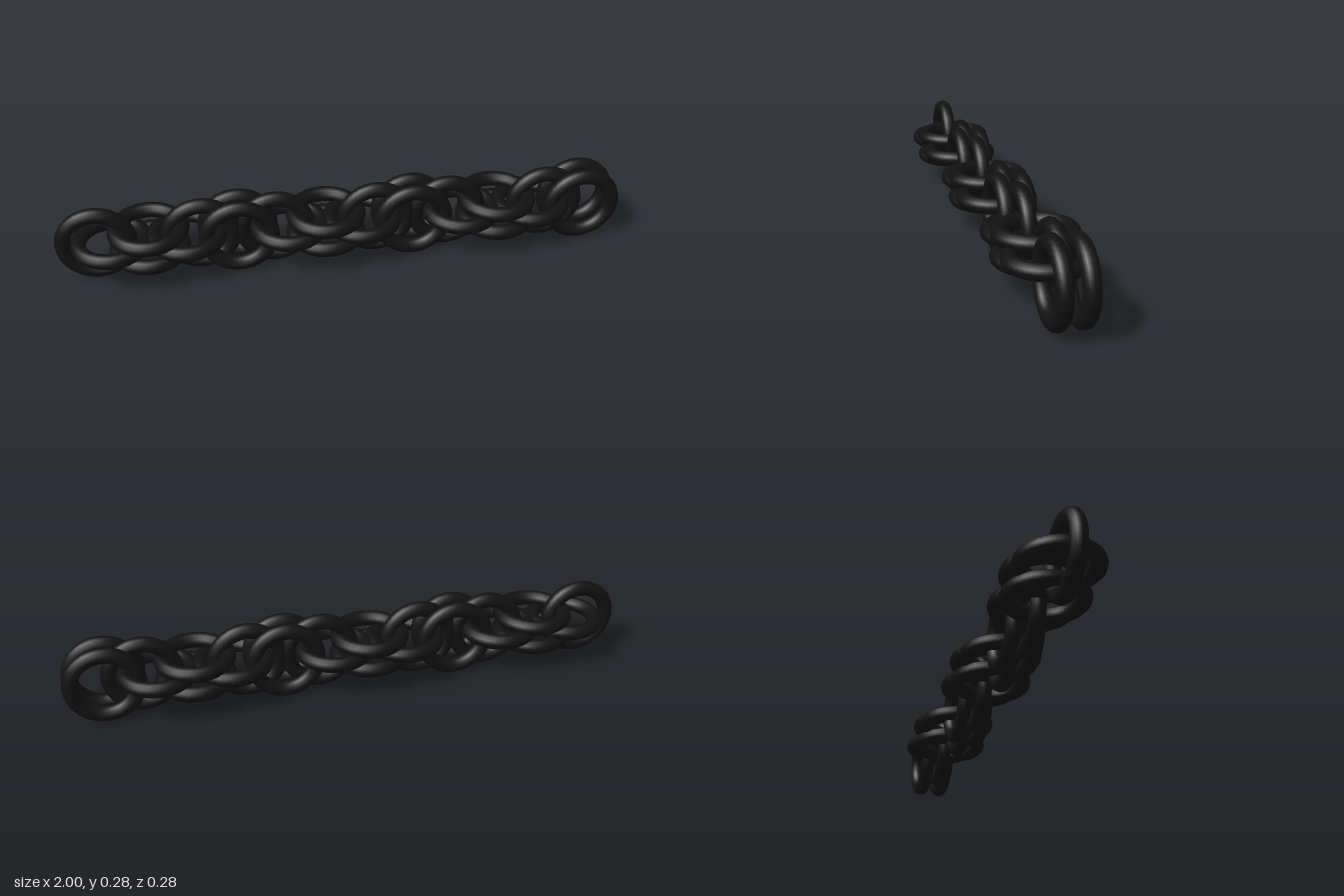
import * as THREE from 'three';

const RING = 0.114;      // centreline radius of a ring
const WIRE = 0.027;      // wire radius
const PERIOD = 0.6153;   // distance between two groups in the same plane
const STEP = 0.128;      // distance from the paired rings to the single ones
const SPREAD = 0.0385;   // sideways offset of each paired ring
const HEIGHT = RING + WIRE;
const END = 1 - HEIGHT;  // centre of the last ring at each end

export function createModel() {
  const chain = new THREE.Group();
  chain.name = 'chain';
  const material = new THREE.MeshStandardMaterial({ color: 0x111111 });
  const geometry = new THREE.TorusGeometry(RING, WIRE, 12, 40);

  // One ring, standing in the XY plane or lying in the XZ plane
  function addRing(name, x, offset, flat) {
    if (Math.abs(x) > END + 0.001) return; // beyond the ends of the chain
    const ring = new THREE.Mesh(geometry, material);
    ring.name = name;
    if (flat) ring.rotation.x = Math.PI / 2;
    ring.position.set(x, HEIGHT + (flat ? offset : 0), flat ? 0 : offset);
    chain.add(ring);
  }

  // Groups of single, double, single rings, alternately standing and lying
  for (let i = 0; i <= 6; i++) {
    const x = END - i * PERIOD / 2;
    const flat = i % 2 === 1;
    const kind = flat ? 'lying' : 'standing';
    for (const side of [-1, 1]) {
      addRing(kind + 'SingleRing', x + side * STEP, 0, flat);
      addRing(kind + 'PairedRing', x, side * SPREAD, flat);
    }
  }
  return chain;
}
